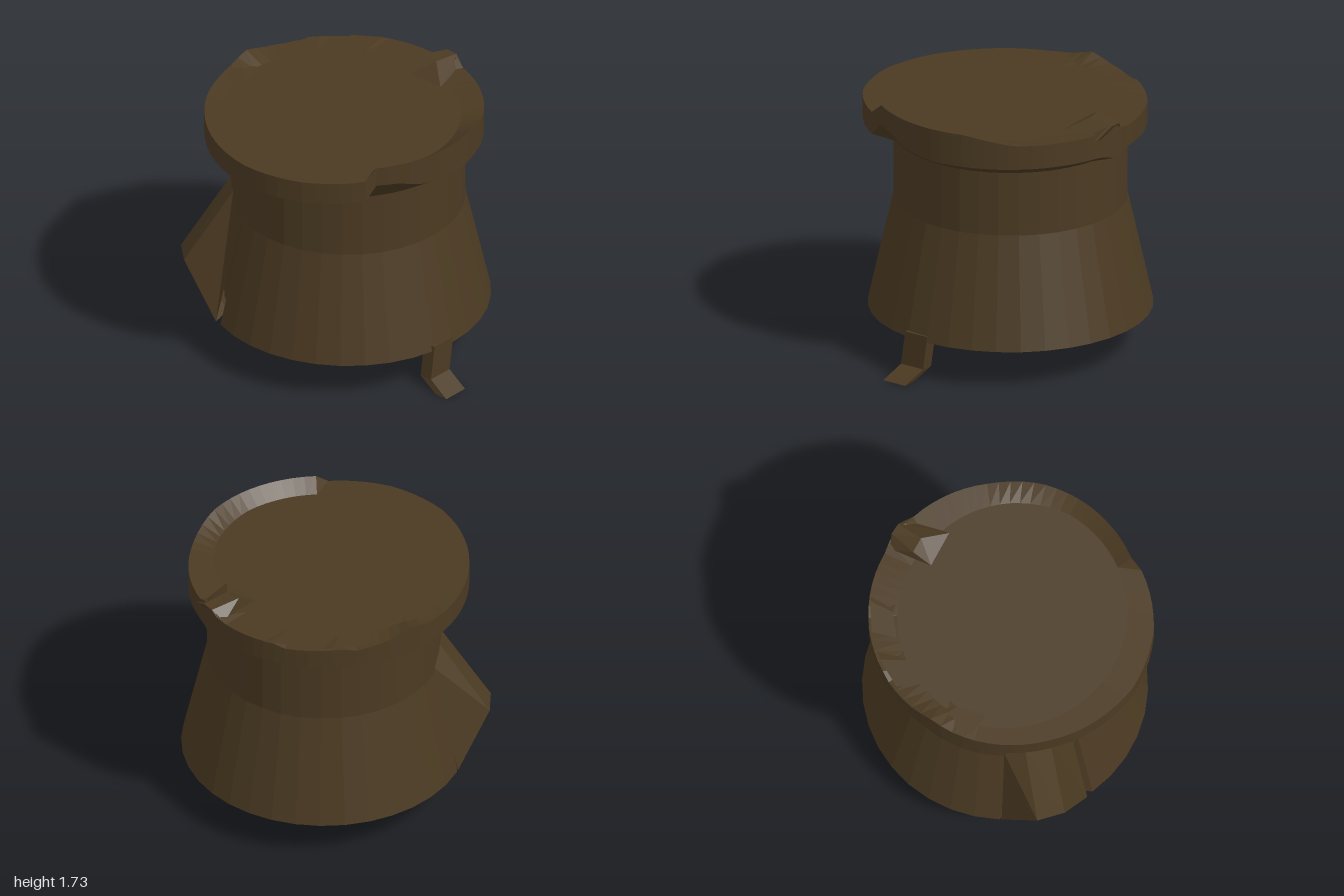
import * as THREE from 'three';

const CX = 0.03, CZ = -0.08; // axis of the stump
const material = new THREE.MeshStandardMaterial({ color: 0x4b3a22, flatShading: true, side: THREE.DoubleSide });

// Point on a circle about the axis; 0 degrees is the front, 90 is +x
const polar = (deg, r, y) => {
  const a = THREE.MathUtils.degToRad(deg);
  return [CX + r * Math.sin(a), y, CZ + r * Math.cos(a)];
};

// Piecewise linear lookup in [angle, value] pairs
function keyed(keys, a) {
  for (let i = 1; i < keys.length; i++) {
    const [a0, v0] = keys[i - 1], [a1, v1] = keys[i];
    if (a <= a1) return v0 + (v1 - v0) * (a - a0) / (a1 - a0);
  }
  return keys[keys.length - 1][1];
}

function facesMesh(name, points, quads) {
  const pos = [];
  for (const [a, b, c, d] of quads) {
    for (const i of d === undefined ? [a, b, c] : [a, b, c, a, c, d]) pos.push(...points[i]);
  }
  const g = new THREE.BufferGeometry();
  g.setAttribute('position', new THREE.Float32BufferAttribute(pos, 3));
  g.computeVertexNormals();
  const mesh = new THREE.Mesh(g, material);
  mesh.name = name;
  return mesh;
}

// Skin rings listed from bottom to top; each ring maps an angle to [radius, y]
function loft(name, rings, segments) {
  const points = [], quads = [];
  for (const ring of rings) {
    for (let j = 0; j < segments; j++) {
      const deg = j * 360 / segments;
      points.push(polar(deg, ...ring(deg)));
    }
  }
  for (let i = 0; i < rings.length - 1; i++) {
    for (let j = 0; j < segments; j++) {
      const k = (j + 1) % segments, lo = i * segments, hi = lo + segments;
      quads.push([lo + j, lo + k, hi + k, hi + j]);
    }
  }
  return facesMesh(name, points, quads);
}

export function createModel() {
  const group = new THREE.Group();

  // Tapered trunk, its foot cut in under the root spur
  group.add(loft('trunk', [
    () => [0, 0.26],
    a => [a > 215 && a < 245 ? 0.8 : 0.92, 0.26],
    () => [0.755, 1.0],
    () => [0.755, 1.44],
  ], 36));

  // Overhanging rim: bulges on one side, with a raised lip and broken spikes
  const rimRadius = [[0, 0.88], [80, 0.87], [87, 0.89], [94, 0.87], [190, 0.9], [230, 0.93],
    [270, 0.975], [295, 0.965], [315, 0.93], [320, 0.92], [325, 0.88], [360, 0.88]];
  const lipHeight = [[0, 1.72], [16, 1.72], [38, 1.66], [75, 1.66], [83, 1.71], [90, 1.66], [95, 1.64],
    [120, 1.65], [125, 1.63], [150, 1.65], [155, 1.63], [170, 1.66], [180, 1.70], [190, 1.66],
    [200, 1.65], [315, 1.65], [320, 1.65], [325, 1.72], [360, 1.72]];
  const lowerEdge = [[0, 1.5], [78, 1.5], [87, 1.46], [96, 1.5], [320, 1.5], [325, 1.59],
    [335, 1.58], [345, 1.53], [360, 1.5]];
  const innerRadius = [[0, 0.78], [30, 0.74], [70, 0.68], [110, 0.68], [160, 0.72], [200, 0.8], [360, 0.78]];
  group.add(loft('rim', [
    () => [0.75, 1.43],
    a => [keyed(rimRadius, a), keyed(lowerEdge, a)],
    a => [keyed(rimRadius, a), keyed(lipHeight, a)],
    a => [keyed(innerRadius, a), 1.645],
    () => [0, 1.645],
  ], 72));

  // Broken spike on the +x side of the rim
  group.add(facesMesh('rimSpike', [
    [0.69, 1.64, 0.03], [0.73, 1.73, -0.08], [0.92, 1.70, -0.04], [0.92, 1.70, 0.04],
    [0.74, 1.72, 0.03], [0.88, 1.62, 0.16], [0.62, 1.645, 0.18], [0.6, 1.645, -0.07],
    [0.88, 1.63, -0.12],
  ], [[4, 3, 2, 1], [6, 5, 3, 4], [7, 6, 4, 1], [1, 2, 8, 7], [3, 5, 8, 2]]));

  // Raised chips along the back edge
  for (const [deg, width] of [[125, 14], [152, 14], [190, 16]]) {
    const h = width / 2;
    group.add(facesMesh('rimChip', [
      polar(deg - h, 0.87, 1.655), polar(deg + h, 0.87, 1.655),
      polar(deg + h + 5, 0.72, 1.65), polar(deg - h + 5, 0.72, 1.65),
      polar(deg - h - 8, 0.86, 1.63), polar(deg - h - 5, 0.7, 1.64),
    ], [[0, 1, 2, 3], [4, 0, 3, 5]]));
  }

  // Root spur overhanging a hollow at the foot of the trunk
  group.add(facesMesh('rootSpur', [
    polar(212, 0.75, 1.03), polar(222, 0.755, 1.12), polar(235, 0.755, 1.11), polar(247, 0.75, 1.0),
    [-0.71, 0.61, -0.86], [-0.83, 0.61, -0.72],
    polar(211, 0.92, 0.26), polar(247, 0.93, 0.26),
    polar(220, 0.8, 0.26), polar(240, 0.8, 0.26),
  ], [
    [0, 6, 4, 1], [1, 4, 5, 2], [2, 5, 7, 3],
    [6, 8, 4], [4, 8, 9, 5], [5, 9, 7],
  ]));

  // Bent root hanging under the front: profile in z and y, sheared sideways
  const profile = new THREE.Shape([[0.84, 0.3], [0.75, 0.3], [0.75, 0.065], [0.905, 0], [1.0, 0], [0.84, 0.07]]
    .map(([z, y]) => new THREE.Vector2(z, y)));
  const rootGeometry = new THREE.ExtrudeGeometry(profile, { depth: 0.175, bevelEnabled: false });
  rootGeometry.rotateY(-Math.PI / 2);
  const p = rootGeometry.attributes.position;
  for (let i = 0; i < p.count; i++) {
    const y = p.getY(i);
    p.setX(i, p.getX(i) - 0.025 + (y < 0.05 ? 0 : 0.015 + y * 0.15));
  }
  rootGeometry.computeVertexNormals();
  const root = new THREE.Mesh(rootGeometry, material);
  root.name = 'hangingRoot';
  group.add(root);

  // Small root stubs on the underside
  for (const [x, z, turn] of [[0.22, 0.05, 0.3], [0.46, -0.74, 0.58]]) {
    const stub = new THREE.Mesh(new THREE.BoxGeometry(0.16, 0.02, 0.12), material);
    stub.position.set(x, 0.264, z);
    stub.rotation.y = turn;
    stub.name = 'rootStub';
    group.add(stub);
  }

  return group;
}
